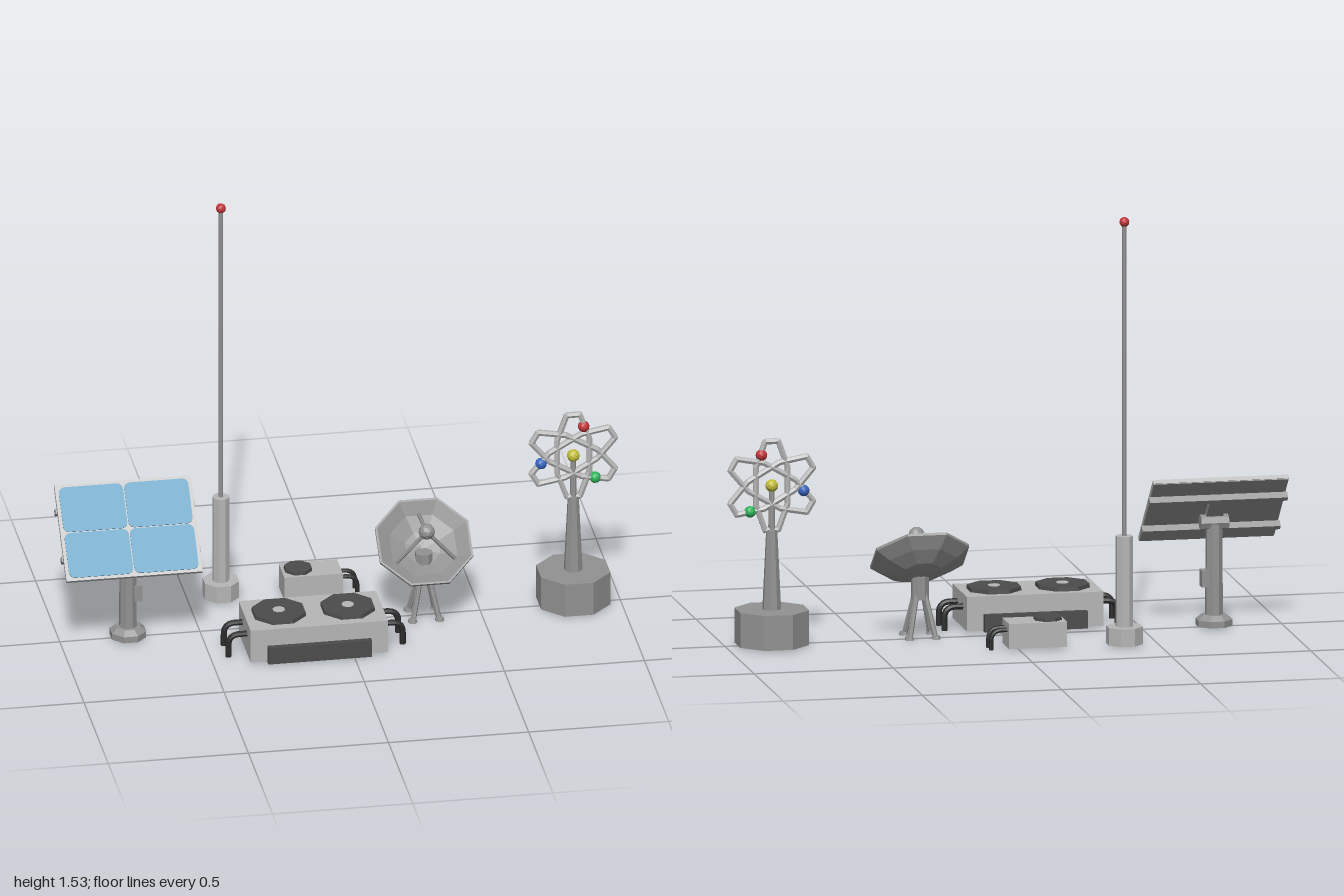
import * as THREE from 'three';

const mat = (name, color) => {
  const m = new THREE.MeshStandardMaterial({ color, side: THREE.DoubleSide });
  m.name = name;
  return m;
};

export function createModel() {
  const M = {
    light: mat('lightGrey', 0xb6b6b6), mid: mat('midGrey', 0x929292),
    dark: mat('darkGrey', 0x4c4c4c), black: mat('black', 0x2c2c2c),
    cell: mat('cellBlue', 0x4791b5), red: mat('red', 0xc03438),
    green: mat('green', 0x2cb458), blue: mat('blue', 0x3564bc), yellow: mat('yellow', 0xc2bc38),
  };
  const root = new THREE.Group();
  const group = (name, x = 0, y = 0, z = 0, parent = root) => {
    const g = new THREE.Group();
    g.name = name;
    g.position.set(x, y, z);
    parent.add(g);
    return g;
  };
  // faceted mesh
  const add = (parent, name, geo, material, x = 0, y = 0, z = 0) => {
    const g = geo.index ? geo.toNonIndexed() : geo;
    g.computeVertexNormals();
    const m = new THREE.Mesh(g, material);
    m.name = name;
    m.position.set(x, y, z);
    parent.add(m);
    return m;
  };
  const box = (p, name, material, x0, x1, y0, y1, z0, z1) =>
    add(p, name, new THREE.BoxGeometry(x1 - x0, y1 - y0, z1 - z0), material,
      (x0 + x1) / 2, (y0 + y1) / 2, (z0 + z1) / 2);
  // octagonal column with flats facing the axes
  const column = (p, name, material, r0, r1, y0, y1, x = 0, z = 0) =>
    add(p, name, new THREE.CylinderGeometry(r1, r0, y1 - y0, 8).rotateY(Math.PI / 8), material, x, (y0 + y1) / 2, z);
  const ball = (p, name, material, r, x, y, z) =>
    add(p, name, new THREE.IcosahedronGeometry(r, 1), material, x, y, z);
  const rod = (p, name, material, a, b, r, sides = 6) => {
    const d = new THREE.Vector3().subVectors(b, a);
    const m = add(p, name, new THREE.CylinderGeometry(r, r, d.length(), sides), material);
    m.position.copy(a).addScaledVector(d, 0.5);
    m.quaternion.setFromUnitVectors(new THREE.Vector3(0, 1, 0), d.normalize());
    return m;
  };
  const V = (x, y, z) => new THREE.Vector3(x, y, z);

  // Solar panel
  const solar = group('solarPanel', -0.757, 0, 0);
  column(solar, 'postFoot', M.mid, 0.066, 0.066, 0.005, 0.028);
  column(solar, 'postFootBevel', M.mid, 0.066, 0.045, 0.028, 0.045);
  column(solar, 'post', M.mid, 0.032, 0.03, 0.04, 0.37);
  box(solar, 'controlBox', M.mid, 0.015, 0.048, 0.145, 0.205, -0.022, 0.022);
  rod(solar, 'hinge', M.mid, V(-0.05, 0.375, 0), V(0.05, 0.375, 0), 0.028, 8);
  const tilt = group('tiltingPanel', 0, 0.424, 0.008, solar);
  tilt.rotation.x = Math.PI / 4;
  box(tilt, 'panelFrame', M.light, -0.243, 0.243, -0.008, 0.008, -0.18, 0.18);
  box(tilt, 'panelBack', M.mid, -0.241, 0.241, -0.011, -0.007, -0.178, 0.178);
  for (const z of [-0.09, 0.09]) box(tilt, 'rail', M.mid, -0.248, 0.248, -0.036, -0.01, z - 0.01, z + 0.01);
  box(tilt, 'mountBracket', M.mid, -0.03, 0.03, -0.034, -0.01, -0.09, 0.09);
  const w = 0.1145, h = 0.0835, r = 0.022;
  const cell = new THREE.Shape();
  [[w, h, 0], [-w, h, 1], [-w, -h, 2], [w, -h, 3]].forEach(([x, y, q]) => {
    cell.absarc(x - Math.sign(x) * r, y - Math.sign(y) * r, r, q * Math.PI / 2, (q + 1) * Math.PI / 2);
  });
  for (const sx of [-1, 1]) for (const sz of [-1, 1]) {
    const geo = new THREE.ExtrudeGeometry(cell, { depth: 0.004, bevelEnabled: false, curveSegments: 4 });
    add(tilt, 'solarCell', geo.rotateX(-Math.PI / 2), M.cell, sx * 0.1165, 0.007, sz * 0.0855);
  }

  // Antenna mast
  const mast = group('antennaMast', -0.38, 0, -0.262);
  column(mast, 'mastFoot', M.light, 0.066, 0.066, 0.005, 0.068);
  column(mast, 'mastSleeve', M.light, 0.031, 0.031, 0.06, 0.392);
  column(mast, 'mastPole', M.mid, 0.008, 0.008, 0.38, 1.51);
  ball(mast, 'mastLamp', M.red, 0.018, 0, 1.517, 0);

  // Cooling units: fans and bent pipes
  const fan = (p, name, x, y, z, rad, hub) => {
    const g = group(name, x, y, z, p);
    column(g, 'fanHousing', M.dark, rad, rad * 0.97, -0.01, 0.014);
    column(g, 'fanHub', hub, rad * 0.24, rad * 0.22, 0.01, 0.017);
  };
  const pipe = (p, x, side, reach, y, z, rad) => {
    const path = new THREE.CurvePath(), end = x + side * reach, c = 0.04;
    path.add(new THREE.LineCurve3(V(x - side * 0.01, y, z), V(end - side * c, y, z)));
    path.add(new THREE.QuadraticBezierCurve3(V(end - side * c, y, z), V(end, y, z), V(end, y - c, z)));
    path.add(new THREE.LineCurve3(V(end, y - c, z), V(end, 0, z)));
    add(p, 'pipe', new THREE.TubeGeometry(path, 14, rad, 8, false), M.black);
  };
  const big = group('largeCoolingUnit');
  box(big, 'housing', M.light, -0.37, 0.12, 0.008, 0.131, 0.05, 0.295);
  box(big, 'sideGrilles', M.dark, -0.31, 0.06, 0.005, 0.068, 0.028, 0.317);
  for (const x of [-0.248, -0.002]) fan(big, 'fan', x, 0.131, 0.17, 0.1, M.light);
  for (const z of [0.123, 0.217]) {
    pipe(big, -0.37, -1, 0.066, 0.084, z, 0.011);
    pipe(big, 0.12, 1, 0.066, 0.084, z, 0.011);
  }
  const small = group('smallCoolingUnit');
  box(small, 'housing', M.light, -0.168, 0.04, 0.008, 0.098, -0.293, -0.175);
  fan(small, 'fan', -0.11, 0.096, -0.234, 0.052, M.dark);
  for (const z of [-0.255, -0.208]) pipe(small, 0.04, 1, 0.057, 0.07, z, 0.008);

  // Satellite dish
  const sat = group('satelliteDish', 0.297, 0, 0.012);
  column(sat, 'standColumn', M.mid, 0.032, 0.032, 0.14, 0.25);
  for (const sx of [-1, 1]) for (const sz of [-1, 1]) {
    rod(sat, 'standLeg', M.mid, V(sx * 0.015, 0.16, sz * 0.015), V(sx * 0.045, 0.012, sz * 0.045), 0.01);
    column(sat, 'standFoot', M.mid, 0.017, 0.014, 0.003, 0.016, sx * 0.048, sz * 0.048);
  }
  const dish = group('tiltedDish', 0, 0.29, 0.004, sat);
  dish.rotation.x = 0.68;
  const profile = [[0, -0.075], [0.07, -0.062], [0.13, -0.036], [0.18, -0.004], [0.18, 0.006],
    [0.172, 0.006], [0.125, -0.024], [0.065, -0.048], [0, -0.058]].map(([x, y]) => new THREE.Vector2(x, y));
  add(dish, 'bowl', new THREE.LatheGeometry(profile, 8).rotateY(Math.PI / 8), M.mid);
  for (const a of [Math.PI / 2, Math.PI * 7 / 6, Math.PI * 11 / 6])
    rod(dish, 'feedStrut', M.mid, V(Math.cos(a) * 0.125, -0.028, -Math.sin(a) * 0.125), V(0, 0.085, 0), 0.007);
  ball(dish, 'feedHead', M.mid, 0.029, 0, 0.087, 0);

  // Atom sculpture
  const atom = group('atomSculpture', 0.834, 0, -0.01);
  column(atom, 'plinth', M.mid, 0.134, 0.134, 0.005, 0.13);
  column(atom, 'pedestal', M.mid, 0.034, 0.02, 0.125, 0.415);
  column(atom, 'nucleusRod', M.mid, 0.013, 0.009, 0.41, 0.565);
  ball(atom, 'nucleus', M.yellow, 0.023, 0, 0.572, 0);
  for (let k = 0; k < 3; k++) {
    const orbit = group('orbit', 0, 0.572, 0, atom);
    orbit.rotation.z = k * Math.PI / 3;
    const pt = i => {
      const t = (i + 0.5) * Math.PI / 4;
      return V(Math.cos(t) * 0.062, Math.sin(t) * 0.172, 0);
    };
    for (let i = 0; i < 8; i++) {
      rod(orbit, 'orbitSegment', M.light, pt(i), pt(i + 1), 0.011);
      const c = pt(i);
      add(orbit, 'orbitJoint', new THREE.IcosahedronGeometry(0.011, 0), M.light, c.x, c.y, 0);
    }
  }
  ball(atom, 'redElectron', M.red, 0.021, 0.037, 0.683, 0);
  ball(atom, 'blueElectron', M.blue, 0.021, -0.115, 0.55, 0);
  ball(atom, 'greenElectron', M.green, 0.021, 0.078, 0.481, 0);
  return root;
}
